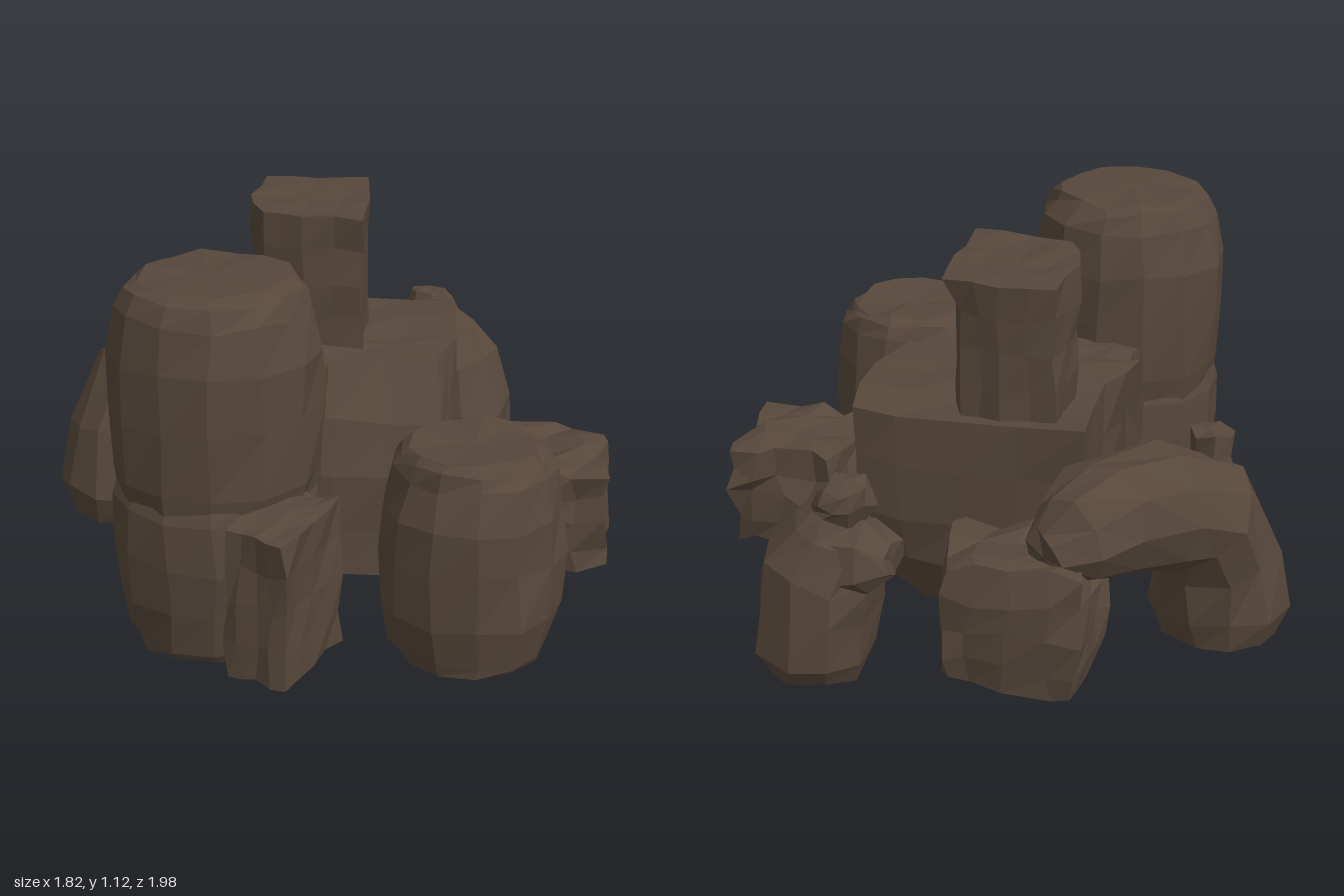
import * as THREE from 'three';

const brown = new THREE.MeshStandardMaterial({ color: 0x56473a, flatShading: true });
brown.name = 'weathered brown';

// repeatable noise in -1..1 taken from a position, so shared corners stay joined
function noise(x, y, z, k) {
  const r = (n) => Math.round(n * 1000) / 1000;
  const s = Math.sin(r(x) * 127.1 + r(y) * 311.7 + r(z) * 74.7 + k * 53.3) * 43758.5453;
  return (s - Math.floor(s)) * 2 - 1;
}

function roughen(geo, amount) {
  const p = geo.attributes.position;
  for (let i = 0; i < p.count; i++) {
    const [x, y, z] = [p.getX(i), p.getY(i), p.getZ(i)];
    p.setXYZ(i, x + noise(x, y, z, 1) * amount,
      Math.max(0.005, y + noise(x, y, z, 2) * amount), z + noise(x, y, z, 3) * amount);
  }
  geo.computeVertexNormals();
  return geo;
}

function named(name, geo) {
  const mesh = new THREE.Mesh(geo, brown);
  mesh.name = name;
  return mesh;
}

// battered box: edges sink between the corners, round softens it towards a ball
function crate(name, [x0, x1], [y0, y1], [z0, z1], { sink = 0.06, round = 0, turn = 0, rough = 0.012, shape } = {}) {
  const geo = new THREE.BoxGeometry(2, 2, 2, 4, 4, 4);
  const p = geo.attributes.position;
  const v = new THREE.Vector3(), ball = new THREE.Vector3(), up = new THREE.Vector3(0, 1, 0);
  const half = new THREE.Vector3(x1 - x0, y1 - y0, z1 - z0).multiplyScalar(0.5);
  const centre = new THREE.Vector3(x0 + x1, y0 + y1, z0 + z1).multiplyScalar(0.5);
  for (let i = 0; i < p.count; i++) {
    v.fromBufferAttribute(p, i);
    const { x, y, z } = v;
    const pull = (a, b) => 1 - sink * (2 - a * a - b * b) / 2;
    ball.copy(v).setLength(1.1);
    v.set(x * pull(y, z), y * pull(x, z), z * pull(x, y)).lerp(ball, round);
    v.multiply(half).applyAxisAngle(up, turn).add(centre);
    if (shape) shape(v, x, y, z);
    p.setXYZ(i, v.x, v.y, v.z);
  }
  return named(name, roughen(geo, rough));
}

// closed body through rings [x, y, z, radius, second radius], square to the path
function loft(name, rings, sides, rough) {
  const pts = rings.map((r) => new THREE.Vector3(r[0], r[1], r[2]));
  const pos = [], idx = [], up = new THREE.Vector3(0, 1, 0), last = rings.length - 1;
  rings.forEach(([, , , ra, rb = ra], i) => {
    const dir = pts[Math.min(i + 1, last)].clone().sub(pts[Math.max(i - 1, 0)]).normalize();
    const q = new THREE.Quaternion().setFromUnitVectors(up, dir);
    for (let j = 0; j < sides; j++) {
      const a = j / sides * Math.PI * 2;
      const v = new THREE.Vector3(Math.cos(a) * ra, 0, Math.sin(a) * rb).applyQuaternion(q).add(pts[i]);
      pos.push(v.x, v.y, v.z);
      const k = i * sides + j, n = i * sides + (j + 1) % sides;
      if (i < last) idx.push(k, k + sides, n, n, k + sides, n + sides);
    }
  });
  const end = rings.length * sides;
  pos.push(...pts[0].toArray(), ...pts[last].toArray());
  for (let j = 0; j < sides; j++) {
    const n = (j + 1) % sides, t = last * sides;
    idx.push(end, j, n, end + 1, t + n, t + j);
  }
  const geo = new THREE.BufferGeometry();
  geo.setAttribute('position', new THREE.Float32BufferAttribute(pos, 3));
  geo.setIndex(idx);
  return named(name, roughen(geo, rough));
}

// upright barrel with a bulging belly and bevelled rims
function barrel(name, x, z, y0, y1, r) {
  const profile = [[0, 0.8], [0.05, 0.87], [0.25, 0.97], [0.5, 1], [0.72, 0.98], [0.9, 0.88], [0.97, 0.8], [1, 0.7]];
  return loft(name, profile.map(([t, s]) => [x, y0 + (y1 - y0) * t, z, r * s]), 13, 0.011);
}

export function createModel() {
  const group = new THREE.Group();
  group.name = 'cargoPile';

  // crates
  group.add(
    crate('largeCrate', [-0.33, 0.43], [0.03, 0.72], [-0.52, 0.25], {
      sink: 0.05, round: 0.05,
      shape: (v, x, y, z) => {
        const top = Math.max(0, y), low = Math.max(0, -y) ** 2;
        // front leans back towards the top, front left edge sags outwards
        if (z > 0) {
          v.z -= 0.19 * z * top * top;
          v.x -= x > 0 ? 0.07 * x * z * top : 0.05 * -x * z;
        }
        // underside is worn in at the back and right
        if (z < 0) v.z -= 0.1 * z * low;
        if (x > 0) v.x -= 0.05 * x * low;
        // back right edge is worn round, most of all at the bottom
        if (x > 0 && z < 0) {
          const wear = (x * z) ** 2;
          v.x -= (0.05 + 0.03 * low) * wear;
          v.z += (0.04 + 0.03 * low) * wear;
          v.y += 0.1 * wear * low;
        }
      },
    }),
    crate('topCrate', [-0.27, 0.13], [0.68, 1.13], [-0.49, 0.0], {
      sink: 0.11, round: 0.1, rough: 0.01,
      // worn vertical edges, the front left one most, with one sharp top corner
      shape: (v, x, y, z) => {
        const c = Math.abs(x * z);
        const wear = x < 0 ? (z > 0 ? 0.07 : 0.03) : (z < 0 ? (y > 0.9 ? 0.03 : 0.07) : 0);
        v.x -= wear * c * Math.sign(x);
        v.z -= wear * 0.6 * c * Math.sign(z);
      },
    }),
    crate('smallCrate', [0.51, 0.9], [0.06, 0.41], [-0.23, 0.2], { sink: 0.1, round: 0.3, rough: 0.022 }),
    crate('frontBox', [-0.12, 0.08], [0.05, 0.52], [0.63, 0.97], { turn: -0.4, round: 0.08 }),
  );
  // splinter bridging the large and small crates
  group.add(loft('splinter', [[0.38, 0.16, 0.05, 0.05], [0.56, 0.2, 0.09, 0.06]], 5, 0.01));

  // barrels
  group.add(
    barrel('lowerBarrel', -0.25, 0.53, 0.01, 0.64, 0.3),
    barrel('upperBarrel', -0.25, 0.53, 0.36, 1.11, 0.31),
    barrel('loneBarrel', 0.49, 0.56, 0.01, 0.65, 0.27),
  );
  // packing wedged between the barrel stack and the large crate
  group.add(crate('packing', [-0.36, 0.03], [0.04, 0.7], [0.0, 0.36], { round: 0.15 }));

  // long sack slumped over the back sack
  group.add(loft('slumpedSack', [
    [-0.7, 0.0, -0.27, 0.18, 0.15], [-0.7, 0.1, -0.27, 0.21, 0.18], [-0.69, 0.28, -0.29, 0.19, 0.17],
    [-0.65, 0.42, -0.35, 0.18], [-0.54, 0.49, -0.46, 0.18, 0.19], [-0.41, 0.52, -0.65, 0.18, 0.17],
    [-0.34, 0.51, -0.78, 0.14, 0.13], [-0.29, 0.49, -0.84, 0.07],
  ], 10, 0.014));
  group.add(loft('sackKnot', [
    [-0.66, 0.5, -0.3, 0.08], [-0.66, 0.59, -0.29, 0.06], [-0.66, 0.66, -0.29, 0.06],
  ], 7, 0.01));

  // squat sack behind
  group.add(crate('backSack', [-0.43, 0.02], [0.05, 0.47], [-0.92, -0.57], { sink: 0.02, round: 0.35, rough: 0.022 }));

  // tied sack at the back with its gathered neck
  group.add(loft('tiedSack', [
    [0.4, 0.01, -0.79, 0.13, 0.16], [0.4, 0.08, -0.78, 0.17, 0.22], [0.39, 0.24, -0.77, 0.18, 0.22],
    [0.36, 0.38, -0.78, 0.18, 0.19], [0.32, 0.48, -0.8, 0.13, 0.13], [0.3, 0.54, -0.81, 0.07],
    [0.28, 0.58, -0.82, 0.08], [0.28, 0.63, -0.83, 0.06],
  ], 9, 0.017));
  group.add(loft('sackTie', [[0.32, 0.4, -0.81, 0.12], [0.21, 0.41, -0.82, 0.11], [0.14, 0.41, -0.83, 0.05]], 7, 0.012));

  return group;
}
